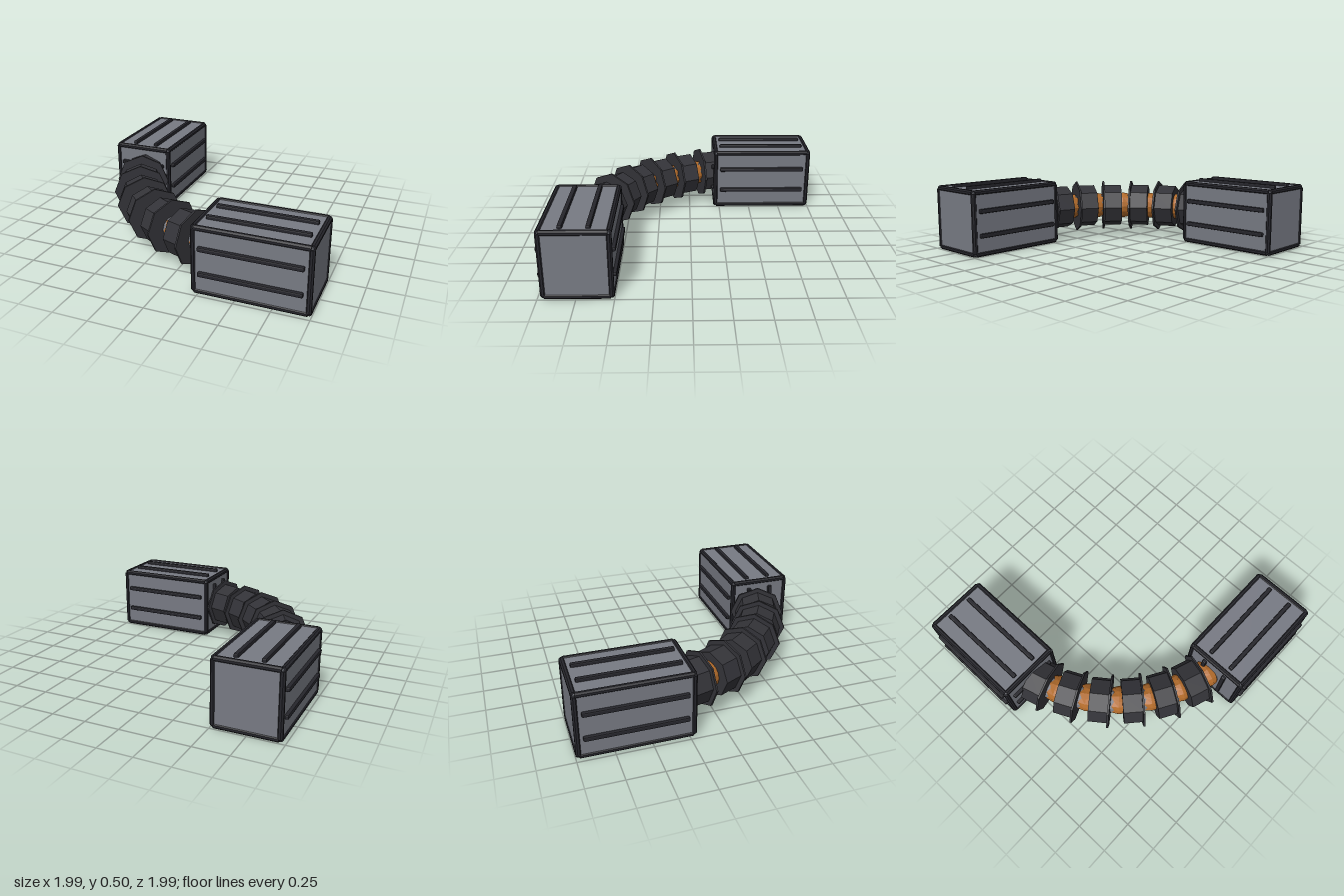
import * as THREE from 'three';
import { RoundedBoxGeometry } from 'three/addons/geometries/RoundedBoxGeometry.js';

const flat = (name, color) => new THREE.MeshStandardMaterial({ name, color, flatShading: true });

export function createModel() {
  const grey = flat('panelGrey', 0x777a83);
  const black = flat('trimBlack', 0x25252b);
  const dark = flat('armourDark', 0x333338);
  const orange = flat('jointOrange', 0xb06a2a);
  const root = new THREE.Group();

  const add = (parent, name, geometry, material, x = 0, y = 0, z = 0) => {
    const mesh = new THREE.Mesh(geometry, material);
    mesh.name = name;
    mesh.position.set(x, y, z);
    parent.add(mesh);
    return mesh;
  };

  // Housing: long axis on x, arm socket end at -x, standing on y = 0
  const L = 0.8, H = 0.49, W = 0.48, R = 0.02;
  function housing(name, verticalEndRibs) {
    const g = new THREE.Group();
    g.name = name;
    add(g, 'panelBody', new RoundedBoxGeometry(L - 0.016, H - 0.016, W - 0.016, 1, 0.022), grey, 0, H / 2, 0);

    // Twelve edge rods
    const size = [L, H, W];
    for (let axis = 0; axis < 3; axis++) {
      const [u, v] = [(axis + 1) % 3, (axis + 2) % 3];
      for (const a of [-1, 1]) for (const b of [-1, 1]) {
        const geo = new THREE.CylinderGeometry(R, R, size[axis] - 0.05, 8);
        geo.rotateY(Math.PI / 8);
        if (axis === 0) geo.rotateZ(Math.PI / 2);
        if (axis === 2) geo.rotateX(Math.PI / 2);
        const p = [0, 0, 0];
        p[u] = a * (size[u] / 2 - R);
        p[v] = b * (size[v] / 2 - R);
        add(g, 'edgeRod', geo, black, p[0], p[1] + H / 2, p[2]);
      }
    }

    // Paired ribs on the top, both long sides and the arm end
    const rib = (sx, sy, sz, x, y, z) =>
      add(g, 'rib', new RoundedBoxGeometry(sx, sy, sz, 1, 0.008), black, x, y, z);
    for (const s of [-0.09, 0.09]) {
      rib(0.69, 0.032, 0.032, 0, H, s);
      for (const side of [-1, 1]) rib(0.69, 0.032, 0.032, 0, H / 2 + s, side * W / 2);
      if (verticalEndRibs) rib(0.032, 0.36, 0.032, -L / 2, H / 2, s);
      else rib(0.032, 0.032, 0.37, -L / 2, H / 2 + s, 0);
    }
    root.add(g);
    return g;
  }
  housing('frontHousing', true).position.set(0.6, 0, 0.74);
  const rear = housing('rearHousing', false);
  rear.position.set(-0.74, 0, -0.6);
  rear.rotation.y = Math.PI / 2;

  // Curved arm between the housings
  const axisY = 0.25;
  const centres = [
    [-0.745, -0.38], [-0.703, -0.16], [-0.623, 0.057], [-0.502, 0.256],
    [-0.345, 0.43], [-0.162, 0.565], [0.048, 0.662], [0.27, 0.72],
  ].map(([x, z]) => new THREE.Vector3(x, axisY, z));
  const path = new THREE.CatmullRomCurve3(centres);
  add(root, 'armCore', new THREE.TubeGeometry(path, 56, 0.088, 12), grey);

  // Orange bulging sleeve with a toothed edge facing the flange
  const sleeveGeo = new THREE.CylinderGeometry(0.098, 0.094, 0.1, 16, 2, true);
  const pos = sleeveGeo.attributes.position;
  for (let i = 0; i < pos.count; i++) {
    const row = Math.floor(i / 17), tooth = i % 2 ? 0.02 : 0;
    if (row === 1) pos.setXYZ(i, pos.getX(i) * 1.1, 0.01, pos.getZ(i) * 1.1);
    if (row === 2) pos.setY(i, -0.045 + tooth);
  }
  sleeveGeo.rotateX(Math.PI / 2);

  const bodyLen = 0.14;
  const bodyGeo = new THREE.CylinderGeometry(0.17, 0.17, bodyLen, 8).rotateX(Math.PI / 2);
  const flangeGeo = new THREE.CylinderGeometry(0.205, 0.205, 0.014, 8).rotateX(Math.PI / 2);
  for (let i = 1; i <= 6; i++) {
    const dir = centres[i + 1].clone().sub(centres[i - 1]);
    const segment = new THREE.Group();
    segment.name = 'armSegment' + i;
    segment.position.copy(centres[i]);
    segment.rotation.y = Math.atan2(dir.x, dir.z);
    add(segment, 'segmentBody', bodyGeo, dark);
    add(segment, 'segmentFlange', flangeGeo, dark, 0, 0, bodyLen / 2 + 0.007);
    root.add(segment);

    // Joint sleeve in the gap after this segment
    const next = centres[i + 1].clone().sub(centres[i]);
    const mid = centres[i].clone().addScaledVector(next, 0.56);
    const sleeve = add(root, 'jointSleeve', sleeveGeo, orange, mid.x, mid.y, mid.z);
    sleeve.rotation.y = Math.atan2(next.x, next.z);
  }
  return root;
}
